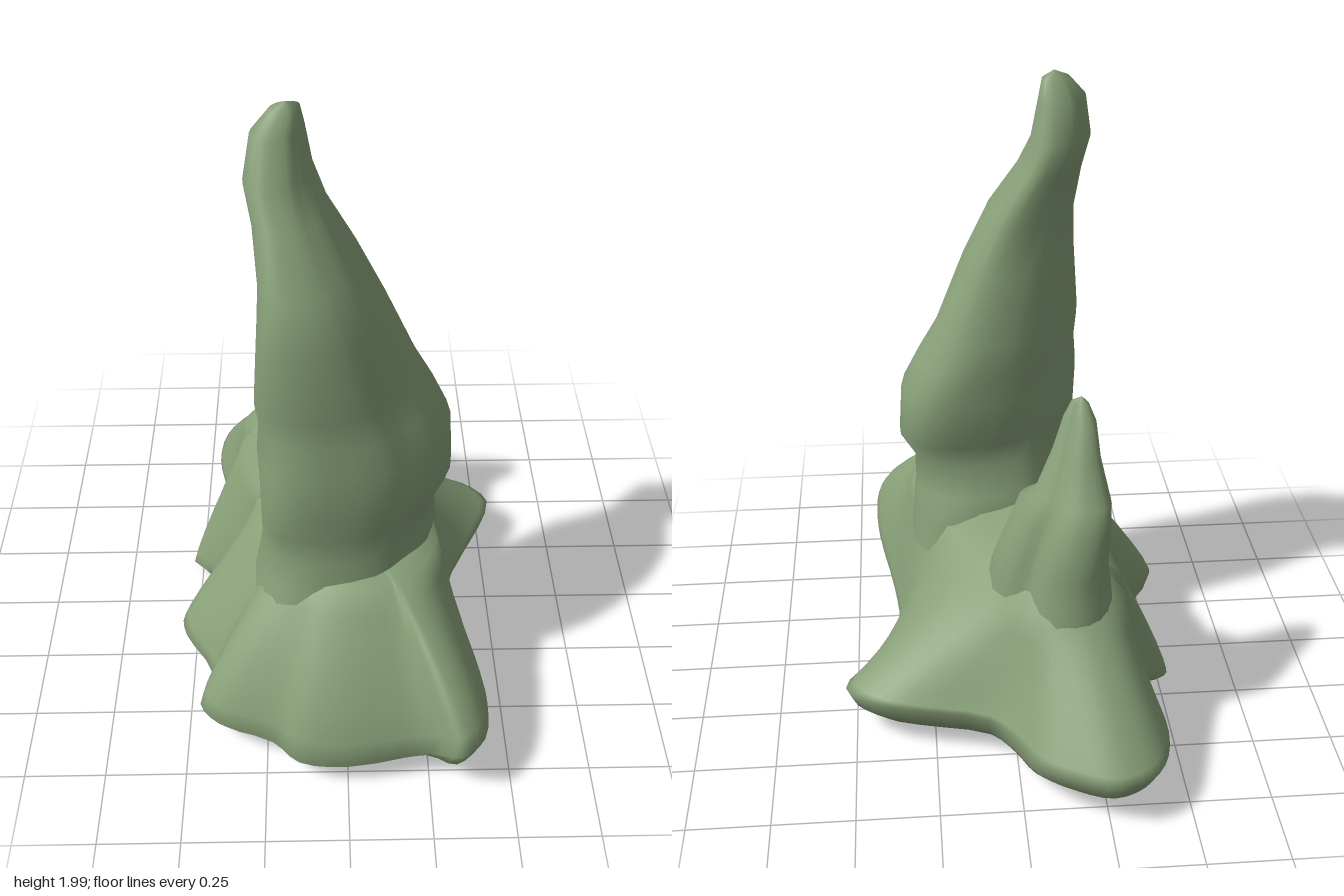
import * as THREE from 'three';

// Skin a list of closed rings (bottom to top) with smooth normals.
function loft(rings, material, name) {
  const n = rings[0].length, pos = [], idx = [];
  rings.forEach(r => r.forEach(p => pos.push(p.x, p.y, p.z)));
  for (let j = 0; j < rings.length - 1; j++) {
    for (let i = 0; i < n; i++) {
      const a = j * n + i, b = j * n + (i + 1) % n;
      idx.push(a, a + n, b, b, a + n, b + n);
    }
  }
  const g = new THREE.BufferGeometry();
  g.setAttribute('position', new THREE.Float32BufferAttribute(pos, 3));
  g.setIndex(idx);
  g.computeVertexNormals();
  const mesh = new THREE.Mesh(g, material);
  mesh.name = name;
  return mesh;
}

// Spire from levels of [y, xMin, xMax, zMin, zMax]. "same" and "mixed" swell or trim
// the corners where x and z have equal or opposite signs, making a diagonal blade.
function spire(levels, same, mixed, material, name) {
  const n = 28;
  const rings = levels.map(([y, x0, x1, z0, z1], k) => {
    const ring = [];
    for (let i = 0; i < n; i++) {
      const a = i / n * Math.PI * 2, c = Math.cos(a), s = Math.sin(a);
      const corner = 2 * c * s;
      const wobble = 1 + 0.02 * Math.sin(a * 4 + k * 1.3) * Math.abs(corner);
      const r = wobble * (1 + (corner > 0 ? same : mixed) * Math.abs(corner));
      const px = Math.sign(c) * Math.abs(c) ** 0.78 * r;
      const pz = Math.sign(s) * Math.abs(s) ** 0.78 * r;
      ring.push(new THREE.Vector3(
        (x0 + x1) / 2 + px * (x1 - x0) / 2, y, (z0 + z1) / 2 + pz * (z1 - z0) / 2));
    }
    return ring;
  });
  return loft(rings, material, name);
}

// Spreading foot: a lobed outline rising to a ridge that carries both spires.
function buildBase(material) {
  const outline = [ // x, height of the rim, z
    [-0.27, 0.18, -0.86], [-0.16, 0.18, -0.82], [-0.05, 0.18, -0.74], [0.01, 0.18, -0.63],
    [0.09, 0.18, -0.53], [0.34, 0.18, -0.46], [0.45, 0.18, -0.42], [0.53, 0.17, -0.33],
    [0.45, 0.14, -0.15], [0.36, 0.13, 0.05], [0.37, 0.15, 0.22], [0.42, 0.19, 0.5],
    [0.43, 0.22, 0.66], [0.41, 0.22, 0.8], [0.34, 0.21, 0.86], [0.25, 0.13, 0.78],
    [0, 0.1, 0.8], [-0.15, 0.1, 0.78], [-0.23, 0.11, 0.71], [-0.4, 0.13, 0.65],
    [-0.46, 0.14, 0.58], [-0.43, 0.14, 0.45], [-0.52, 0.17, 0.31], [-0.53, 0.17, 0.22],
    [-0.44, 0.17, 0.14], [-0.33, 0.15, 0.07], [-0.36, 0.12, 0.01], [-0.53, 0.05, -0.16],
    [-0.5, 0.06, -0.22], [-0.38, 0.14, -0.28], [-0.42, 0.16, -0.43], [-0.45, 0.18, -0.57],
    [-0.43, 0.18, -0.73], [-0.37, 0.18, -0.82],
  ].map(p => new THREE.Vector3(...p));
  const curve = new THREE.CatmullRomCurve3(outline, true, 'centripetal');
  const rim = curve.getPoints(102).slice(0, -1);

  // Nearest point on the ridge, and the shoulder ring standing off from it,
  // wide and high under the tall spire, narrow and low under the small one
  const ridge = new THREE.Line3(new THREE.Vector3(0.02, 0, 0.26), new THREE.Vector3(-0.16, 0, -0.32));
  const spine = rim.map(p => ridge.closestPointToPoint(p.clone().setY(0), true, new THREE.Vector3()));
  const frontness = spine.map(s => (s.z + 0.32) / 0.58);
  const shoulder = rim.map((p, i) => {
    const out = p.clone().setY(0).sub(spine[i]);
    const reach = Math.min(0.19 + 0.08 * frontness[i], 0.75 * out.length());
    return out.setLength(reach).add(spine[i]).setY(0.52 + 0.06 * frontness[i]);
  });

  // Convex belly in front, straight flanks, hollow slope towards the left arm
  const bend = rim.map((p, i) => {
    const dir = p.clone().setY(0).sub(spine[i]).normalize();
    return 0.95 - 0.3 * Math.max(0, dir.z) + 0.25 * Math.max(0, dir.x) * (1 - frontness[i]);
  });
  const slope = t => rim.map((p, i) => {
    const q = p.clone().lerp(shoulder[i], t);
    q.y = p.y + (shoulder[i].y - p.y) * t ** bend[i];
    return q;
  });
  const underside = (s, lift) => rim.map(p =>
    new THREE.Vector3(p.x * s, 0.015 + lift * (p.y - 0.015), p.z * s));

  const rings = [underside(0, 0), underside(0.5, 0.05), underside(0.75, 0.16),
    underside(0.88, 0.33), underside(0.96, 0.62)];
  for (const t of [0, 0.06, 0.2, 0.4, 0.6, 0.8, 1]) rings.push(slope(t));
  for (const [t, y] of [[0.4, 0.6], [1, 0.62]]) {
    rings.push(shoulder.map((p, i) => p.clone().lerp(spine[i], t).setY(y)));
  }
  return loft(rings, material, 'rockBase');
}

export function createModel() {
  const moss = new THREE.MeshStandardMaterial({ color: 0x88a078 });
  moss.name = 'mossGreen';
  const group = new THREE.Group();
  group.name = 'rockSpires';

  group.add(buildBase(moss));

  group.add(spire([
    [0.45, -0.28, 0.29, -0.03, 0.53],
    [0.55, -0.26, 0.28, -0.02, 0.51],
    [0.65, -0.24, 0.27, 0.0, 0.49],
    [0.74, -0.24, 0.27, 0.06, 0.49],
    [0.83, -0.245, 0.32, 0.02, 0.5],
    [0.98, -0.25, 0.31, 0.015, 0.5],
    [1.08, -0.24, 0.26, 0.02, 0.48],
    [1.18, -0.25, 0.2, 0.02, 0.49],
    [1.4, -0.24, 0.11, 0.055, 0.49],
    [1.55, -0.235, 0.04, 0.07, 0.45],
    [1.7, -0.25, -0.05, 0.06, 0.35],
    [1.8, -0.27, -0.09, 0.055, 0.29],
    [1.92, -0.25, -0.11, 0.09, 0.23],
    [1.98, -0.2, -0.12, 0.12, 0.19],
    [2.0, -0.155, -0.155, 0.16, 0.16],
  ], -0.17, 0.15, moss, 'tallSpire'));

  group.add(spire([
    [0.4, -0.29, 0.07, -0.53, -0.1],
    [0.55, -0.29, 0.06, -0.51, -0.12],
    [0.65, -0.28, 0.03, -0.49, -0.14],
    [0.8, -0.28, -0.02, -0.5, -0.18],
    [0.87, -0.28, -0.07, -0.45, -0.26],
    [1.0, -0.25, -0.12, -0.4, -0.265],
    [1.1, -0.24, -0.15, -0.35, -0.265],
    [1.15, -0.22, -0.17, -0.325, -0.28],
    [1.17, -0.2, -0.2, -0.3, -0.3],
  ], 0.12, -0.4, moss, 'smallSpire'));

  return group;
}
